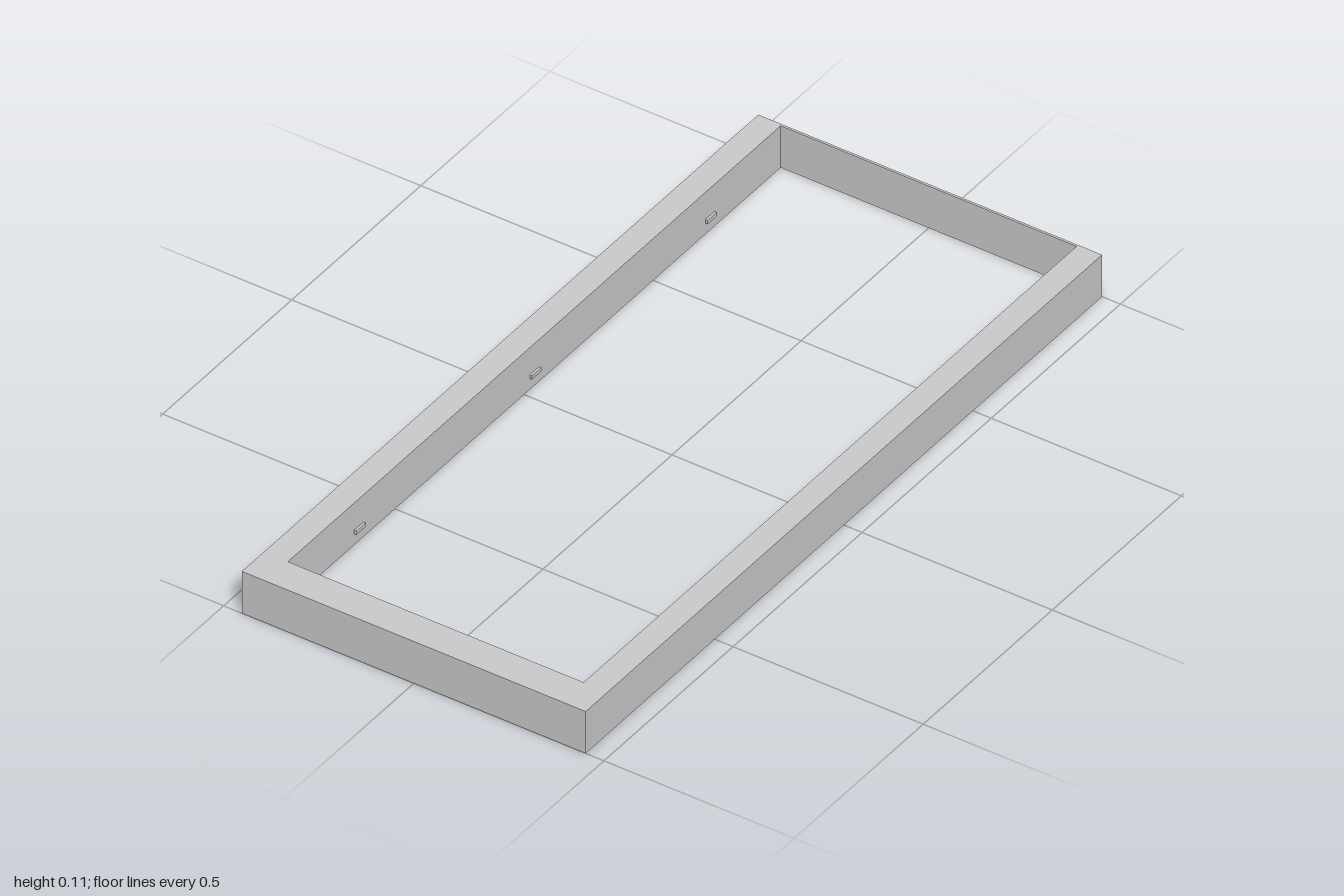
import * as THREE from 'three';

const W = 0.452, IN = 0.389, H = 0.114, HEAD = 0.915, POCKET = 0.03;

export function createModel() {
  const group = new THREE.Group();
  const mat = new THREE.MeshStandardMaterial({ color: 0xcccccc });

  const add = (name, geometry, x = 0, y = 0, z = 0) => {
    const mesh = new THREE.Mesh(geometry, mat);
    mesh.name = name;
    mesh.position.set(x, y, z);
    group.add(mesh);
  };
  // box given by its extents on each axis
  const box = (name, x0, x1, y0, y1, z0, z1) =>
    add(name, new THREE.BoxGeometry(x1 - x0, y1 - y0, z1 - z0),
      (x0 + x1) / 2, (y0 + y1) / 2, (z0 + z1) / 2);
  const rect = (path, u0, u1, v0, v1) =>
    path.moveTo(u0, v0).lineTo(u1, v0).lineTo(u1, v1).lineTo(u0, v1).closePath();

  // frame members: hinge jamb, header and thin threshold
  box('hingeJamb', -W, -IN, 0, H, -1, 1);
  box('header', -IN, IN, 0, H, HEAD, 1);
  box('threshold', -IN, IN, 0, H, -1, -0.994);

  // latch jamb: solid outer half, inner half pierced for the latch pocket
  box('latchJambOuter', IN + POCKET, W, 0, H, -1, 1);
  const face = new THREE.Shape();
  rect(face, -1, 1, 0, H);
  const hole = new THREE.Path();
  rect(hole, 0.01, 0.09, 0.034, 0.08);
  face.holes.push(hole);
  const inner = new THREE.ExtrudeGeometry(face, { depth: POCKET, bevelEnabled: false });
  inner.rotateY(Math.PI / 2);
  add('latchJambInner', inner, IN);

  // three small hinges on the inner face of the hinge jamb
  for (const z of [-0.72, -0.04, 0.64]) {
    box('hinge', -IN - 0.004, -IN + 0.006, 0.03, 0.04, z - 0.018, z + 0.018);
  }
  return group;
}
